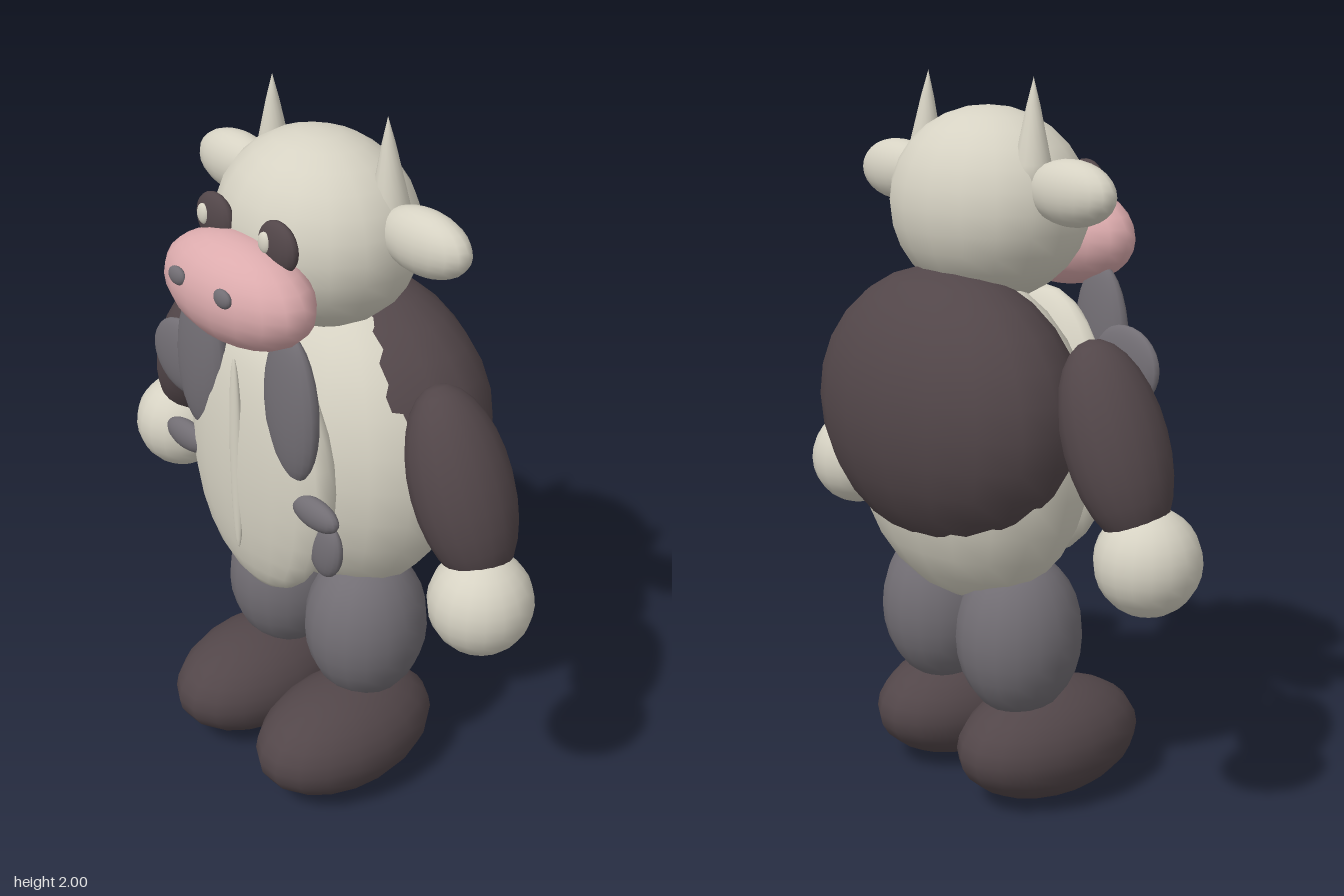
import * as THREE from 'three';

export function createModel() {
  const model = new THREE.Group();
  model.name = 'cow';

  const paint = (name, color) => {
    const m = new THREE.MeshStandardMaterial({ color });
    m.name = name;
    return m;
  };
  const cream = paint('cream', 0xd6d2c3);
  const dark = paint('darkBrown', 0x524649);
  const grey = paint('grey', 0x726e74);
  const pink = paint('pink', 0xdcabad);

  const ball = new THREE.SphereGeometry(1, 18, 14);

  // Ellipsoid part: centre, radii, and tilt about z
  function blob(name, mat, pos, radii, tilt = 0) {
    const mesh = new THREE.Mesh(ball, mat);
    mesh.name = name;
    mesh.position.set(...pos);
    mesh.scale.set(...radii);
    mesh.rotation.z = tilt;
    model.add(mesh);
    return mesh;
  }

  // Mirrored pair on both sides of x = 0
  function pair(name, mat, [x, y, z], radii, tilt = 0) {
    blob(name + 'Left', mat, [x, y, z], radii, tilt);
    blob(name + 'Right', mat, [-x, y, z], radii, -tilt);
  }

  // Torso with dark back
  blob('body', cream, [0, 1.03, -0.06], [0.42, 0.46, 0.27]);
  blob('darkBack', dark, [0, 1.12, -0.13], [0.455, 0.385, 0.285]);
  blob('belly', cream, [0, 1.03, 0.21], [0.28, 0.39, 0.1]);
  blob('bellyRidge', cream, [0, 1.08, 0.298], [0.022, 0.29, 0.014]);

  // Chest flaps and patches
  pair('chestFlap', grey, [0.185, 1.285, 0.26], [0.1, 0.21, 0.04], 0.04);
  pair('pocketFlap', grey, [0.273, 1.01, 0.257], [0.088, 0.044, 0.03]);
  blob('shoulderPatch', grey, [-0.305, 1.235, 0.235], [0.13, 0.11, 0.03]);
  blob('hipPatch', grey, [0.272, 0.88, 0.218], [0.06, 0.085, 0.026], -0.2);

  // Head
  blob('head', cream, [0, 1.66, 0.01], [0.3, 0.26, 0.25]);
  blob('muzzle', pink, [0, 1.56, 0.275], [0.262, 0.143, 0.135]);
  pair('nostril', grey, [0.092, 1.6, 0.398], [0.032, 0.025, 0.014]);
  pair('eye', dark, [0.125, 1.705, 0.247], [0.071, 0.068, 0.028]);
  // Both pupils look slightly to one side
  for (const x of [-0.145, 0.1]) {
    blob('pupil', cream, [x, 1.715, 0.27], [0.022, 0.028, 0.012]);
  }
  pair('ear', cream, [0.365, 1.722, -0.018], [0.15, 0.085, 0.069]);

  // Horns: rounded base tapering to a point
  const hornProfile = [[0, -0.06], [0.035, -0.045], [0.052, 0], [0.05, 0.04],
    [0.035, 0.11], [0.018, 0.19], [0, 0.26]].map(([r, y]) => new THREE.Vector2(r, y));
  const hornGeo = new THREE.LatheGeometry(hornProfile, 14);
  for (const s of [1, -1]) {
    const horn = new THREE.Mesh(hornGeo, cream);
    horn.name = s > 0 ? 'hornLeft' : 'hornRight';
    horn.position.set(s * 0.228, 1.742, -0.03);
    horn.rotation.set(0.03, 0, s * 0.03);
    model.add(horn);
  }

  // Limbs
  pair('arm', dark, [0.535, 1.11, -0.01], [0.13, 0.27, 0.14], 0.41);
  pair('hand', cream, [0.64, 0.818, 0.01], [0.14, 0.143, 0.14]);
  pair('leg', grey, [0.172, 0.49, -0.02], [0.172, 0.235, 0.18]);
  pair('foot', dark, [0.19, 0.163, 0.075], [0.19, 0.163, 0.295]);

  return model;
}
